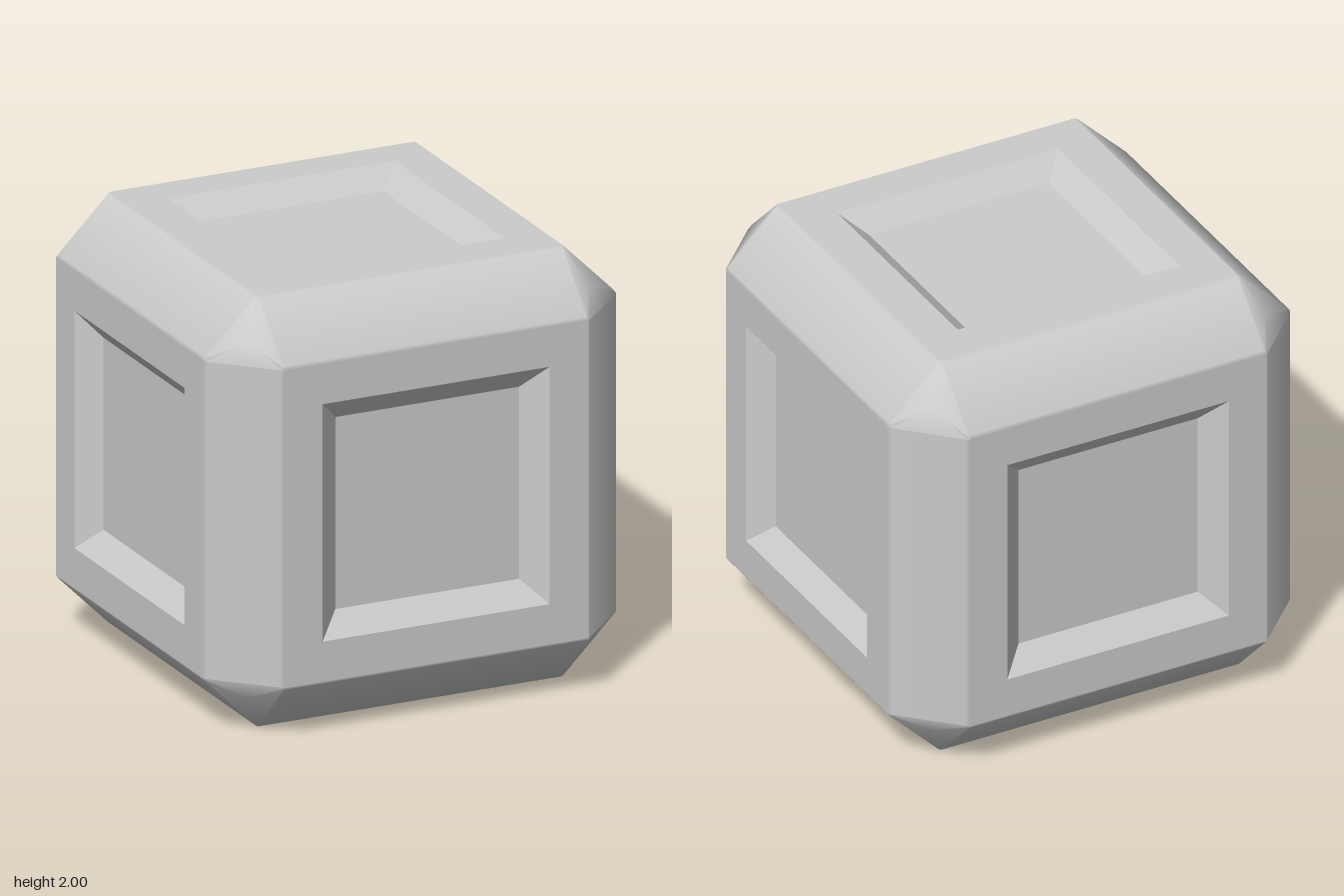
import * as THREE from 'three';

const A = 0.735;        // half width of each flat face
const OPEN = 0.55;      // half width of the recess at the surface
const FLOOR = 0.445;    // half width of the recess floor
const DEPTH = 0.09;     // depth of the recess

const material = new THREE.MeshStandardMaterial({ color: 0xcccccc });

function smoothPatch(points, normals, index) {
  const g = new THREE.BufferGeometry();
  g.setAttribute('position', new THREE.Float32BufferAttribute(points.flat(), 3));
  const n = normals.map((v) => new THREE.Vector3(...v).normalize().toArray());
  g.setAttribute('normal', new THREE.Float32BufferAttribute(n.flat(), 3));
  g.setIndex(index);
  return g;
}

function mesh(name, geometry) {
  const m = new THREE.Mesh(geometry, material);
  m.name = name;
  return m;
}

// Flat square border with a square opening
function frameGeometry() {
  const square = (target, s) =>
    target.setFromPoints([[-s, -s], [s, -s], [s, s], [-s, s]].map((p) => new THREE.Vector2(...p)));
  const shape = square(new THREE.Shape(), A);
  shape.holes.push(square(new THREE.Path(), OPEN));
  return new THREE.ShapeGeometry(shape).translate(0, 0, 1);
}

// Four sloping walls: a square funnel turned inside out
function wallGeometry() {
  const g = new THREE.CylinderGeometry(OPEN * Math.SQRT2, FLOOR * Math.SQRT2, DEPTH, 4, 1, true)
    .rotateY(Math.PI / 4).rotateX(Math.PI / 2).translate(0, 0, 1 - DEPTH / 2).toNonIndexed();
  const p = g.attributes.position;
  for (let i = 0; i < p.count; i++) p.setX(i, -p.getX(i));
  g.computeVertexNormals();
  return g;
}

// Chamfer along x between the +y and +z faces, with softened borders
function edgeGeometry() {
  const profile = [[A, 1], [0.75, 0.99], [0.99, 0.75], [1, A]];
  const lean = [[0, 1], [0.5, 0.87], [0.87, 0.5], [1, 0]];
  const points = [], normals = [], index = [];
  profile.forEach(([y, z], i) => {
    points.push([-A, y, z], [A, y, z]);
    normals.push([0, ...lean[i]], [0, ...lean[i]]);
    if (i < 3) {
      const k = i * 2;
      index.push(k, k + 1, k + 3, k, k + 3, k + 2);
    }
  });
  return smoothPatch(points, normals, index);
}

// Three-sided corner with clipped tips, fanned from its middle
function cornerGeometry() {
  const points = [[0.825, 0.825, 0.825]], normals = [[1, 1, 1]], index = [];
  const cycle = ([x, y, z], k) => [[x, y, z], [z, x, y], [y, z, x]][k];
  for (let k = 0; k < 3; k++) {
    for (const p of [[0.99, A, 0.75], [1, A, A], [0.99, 0.75, A]]) points.push(cycle(p, k));
    for (const n of [[0.87, 0.25, 0.5], [1, 0.15, 0.15], [0.87, 0.5, 0.25]]) normals.push(cycle(n, k));
  }
  for (let i = 0; i < 9; i++) index.push(0, 1 + i, 1 + ((i + 1) % 9));
  return smoothPatch(points, normals, index);
}

export function createModel() {
  const model = new THREE.Group();
  model.name = 'panelledCube';
  const body = new THREE.Group();
  body.name = 'body';
  body.position.y = 1;
  model.add(body);

  // Six recessed faces
  const frame = frameGeometry();
  const walls = wallGeometry();
  const floor = new THREE.PlaneGeometry(FLOOR * 2, FLOOR * 2).translate(0, 0, 1 - DEPTH);
  const q = Math.PI / 2;
  const faces = {
    front: [0, 0], left: [0, q], back: [0, 2 * q], right: [0, -q], top: [-q, 0], bottom: [q, 0],
  };
  for (const [side, [rx, ry]] of Object.entries(faces)) {
    const face = new THREE.Group();
    face.name = side + 'Face';
    face.rotation.set(rx, ry, 0);
    face.add(mesh('frame', frame), mesh('recessWalls', walls), mesh('recessFloor', floor));
    body.add(face);
  }

  // Twelve chamfered edges: four along each axis
  const edge = edgeGeometry();
  const diagonal = new THREE.Vector3(1, 1, 1).normalize();
  for (let axis = 0; axis < 3; axis++) {
    const group = new THREE.Group();
    group.name = 'edgesAlong' + 'XYZ'[axis];
    group.quaternion.setFromAxisAngle(diagonal, (axis * 2 * Math.PI) / 3);
    for (let k = 0; k < 4; k++) {
      const m = mesh('chamferedEdge', edge);
      m.rotation.x = k * q;
      group.add(m);
    }
    body.add(group);
  }

  // Eight corners: an upper ring and the same ring turned over
  const corner = cornerGeometry();
  for (const [name, turn] of [['upperCorners', 0], ['lowerCorners', Math.PI]]) {
    const ring = new THREE.Group();
    ring.name = name;
    ring.rotation.x = turn;
    for (let k = 0; k < 4; k++) {
      const m = mesh('corner', corner);
      m.rotation.y = k * q;
      ring.add(m);
    }
    body.add(ring);
  }
  return model;
}
